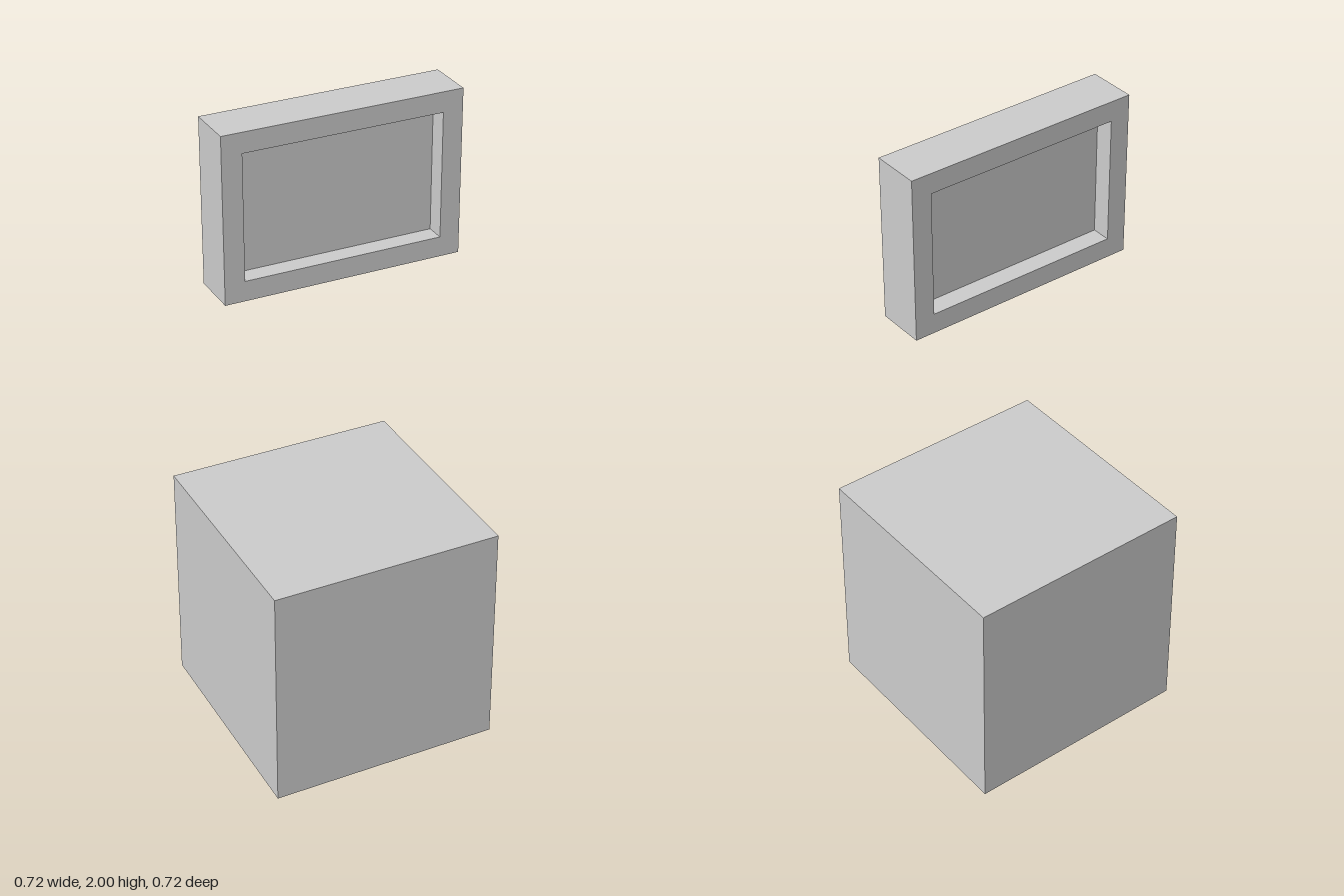
import * as THREE from 'three';

const material = new THREE.MeshStandardMaterial({ color: 0xcccccc, flatShading: true });

function addMesh(group, name, geometry, y) {
  const mesh = new THREE.Mesh(geometry, material);
  mesh.name = name;
  mesh.position.y = y;
  group.add(mesh);
}

// Corners of a centred rectangle
function rectangle(w, h) {
  return [[-1, -1], [1, -1], [1, 1], [-1, 1]].map(([x, y]) => new THREE.Vector2(x * w / 2, y * h / 2));
}

export function createModel() {
  const group = new THREE.Group();
  const width = 0.716, depth = 0.144;
  const signHeight = 0.494, border = 0.06;
  const innerW = width - 2 * border, innerH = signHeight - 2 * border;
  const signY = 2 - signHeight / 2;

  // Cube standing on the ground
  addMesh(group, 'baseCube', new THREE.BoxGeometry(width, width, width), width / 2);

  // Rectangular frame floating above the cube
  const shape = new THREE.Shape(rectangle(width, signHeight));
  shape.holes.push(new THREE.Path(rectangle(innerW, innerH)));
  const frame = new THREE.ExtrudeGeometry(shape, { depth, bevelEnabled: false });
  frame.translate(0, 0, -depth / 2);
  addMesh(group, 'signFrame', frame, signY);

  // Panel recessed on both faces of the frame
  addMesh(group, 'signPanel', new THREE.BoxGeometry(innerW, innerH, 0.03), signY);

  return group;
}
